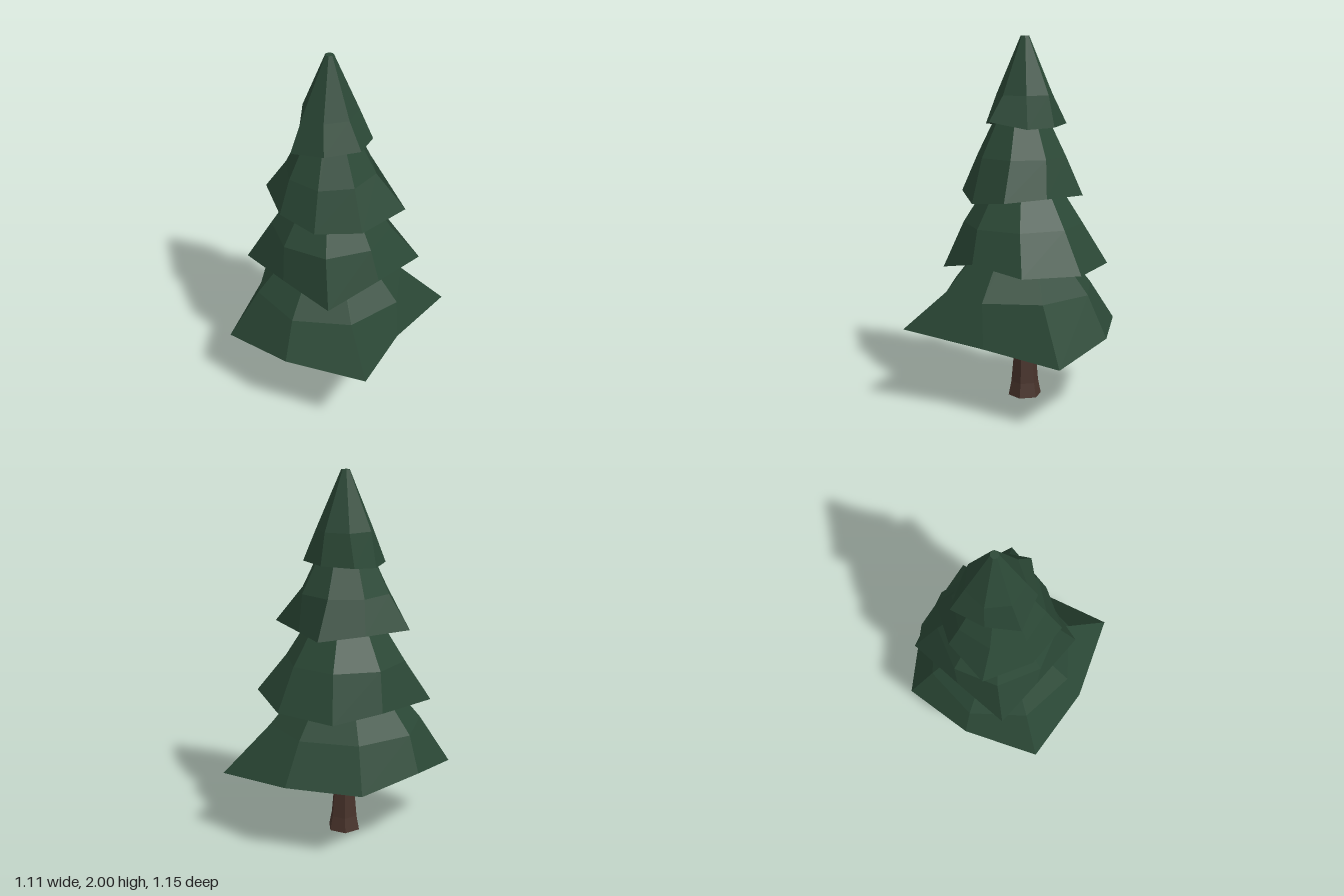
import * as THREE from 'three';

// Stacks rings of points (bottom to top) into a closed solid with one normal per facet.
function loft(rings) {
  const positions = [], normals = [];
  const tri = (normal, ...pts) => pts.forEach((p) => {
    positions.push(...p);
    normals.push(...normal);
  });
  const n = rings[0].length;
  const vec = (from, to) => new THREE.Vector3(...to).sub(new THREE.Vector3(...from));
  const middle = (ring) => [0, 1, 2].map((k) => ring.reduce((s, p) => s + p[k], 0) / n);
  const first = rings[0], last = rings[rings.length - 1];
  const low = middle(first), high = middle(last);
  for (let i = 0; i < n; i++) {
    const j = (i + 1) % n;
    for (let r = 0; r < rings.length - 1; r++) {
      const a = rings[r], b = rings[r + 1];
      const facet = vec(a[i], b[j]).cross(vec(b[i], a[j])).normalize();
      tri(facet, a[i], b[i], a[j]);
      tri(facet, b[i], b[j], a[j]);
    }
    tri([0, -1, 0], low, first[i], first[j]);
    tri([0, 1, 0], high, last[j], last[i]);
  }
  const geo = new THREE.BufferGeometry();
  geo.setAttribute('position', new THREE.Float32BufferAttribute(positions, 3));
  geo.setAttribute('normal', new THREE.Float32BufferAttribute(normals, 3));
  return geo;
}

// Regular ring around a centre, first corner turned by `turn` degrees.
function ring(n, turn, [cx, cz], radius, y) {
  return Array.from({ length: n }, (_, i) => {
    const a = THREE.MathUtils.degToRad(turn + (i * 360) / n);
    return [cx + radius * Math.cos(a), y, cz + radius * Math.sin(a)];
  });
}

// Each tier: ragged hem, then a regular middle ring and a narrow top ring [radius, y].
const TIERS = [
  {
    name: 'lowestBranches', turn: -20, centre: [-0.05, 0.04], mid: [0.417, 0.625], top: [0.07, 1.05],
    hem: [[0.345, 0.378, -0.113], [0.553, 0.435, 0.312], [0.128, 0.405, 0.512], [-0.3, 0.355, 0.574],
      [-0.5, 0.425, 0.2], [-0.553, 0.405, -0.202], [-0.226, 0.4, -0.462], [0.235, 0.355, -0.578]],
  },
  {
    name: 'lowerBranches', turn: 0, centre: [-0.062, 0.025], mid: [0.327, 0.99], top: [0.07, 1.4],
    hem: [[0.314, 0.81, 0.01], [0.263, 0.737, 0.322], [-0.08, 0.757, 0.352], [-0.373, 0.775, 0.372],
      [-0.392, 0.76, 0.04], [-0.408, 0.76, -0.287], [-0.08, 0.76, -0.413], [0.27, 0.785, -0.333]],
  },
  {
    name: 'upperBranches', turn: 10.5, centre: [-0.055, 0.03], mid: [0.247, 1.36], top: [0.055, 1.75],
    hem: [[0.255, 1.12, 0.08], [0.138, 1.155, 0.306], [-0.11, 1.165, 0.335], [-0.37, 1.18, 0.225],
      [-0.35, 1.18, -0.045], [-0.235, 1.155, -0.263], [0, 1.155, -0.23], [0.278, 1.16, -0.205]],
  },
  {
    name: 'topBranches', turn: 0.5, centre: [-0.07, 0.02], mid: [0.155, 1.69], top: [0.023, 2],
    hem: [[0.18, 1.555, 0.025], [0.07, 1.53, 0.18], [-0.115, 1.5, 0.25], [-0.23, 1.5, 0.105],
      [-0.292, 1.525, -0.075], [-0.115, 1.52, -0.165], [0.07, 1.52, -0.155]],
  },
];

export function createModel() {
  const needles = new THREE.MeshStandardMaterial({ color: 0x2b4836 });
  needles.name = 'needle green';
  const bark = new THREE.MeshStandardMaterial({ color: 0x48332b });
  bark.name = 'bark brown';

  const tree = new THREE.Group();
  tree.name = 'pineTree';
  const add = (name, geometry, material) => {
    const mesh = new THREE.Mesh(geometry, material);
    mesh.name = name;
    tree.add(mesh);
  };

  // Six-sided trunk with a flared foot
  const trunkProfile = [[0.093, 0], [0.077, 0.08], [0.057, 0.3], [0.055, 0.6]];
  add('trunk', loft(trunkProfile.map(([r, y]) => ring(6, 30, [-0.069, 0.017], r, y))), bark);

  // Four overlapping skirts of branches
  for (const { name, turn, centre, mid, top, hem } of TIERS) {
    const n = hem.length;
    add(name, loft([hem, ring(n, turn, centre, ...mid), ring(n, turn, centre, ...top)]), needles);
  }
  return tree;
}
